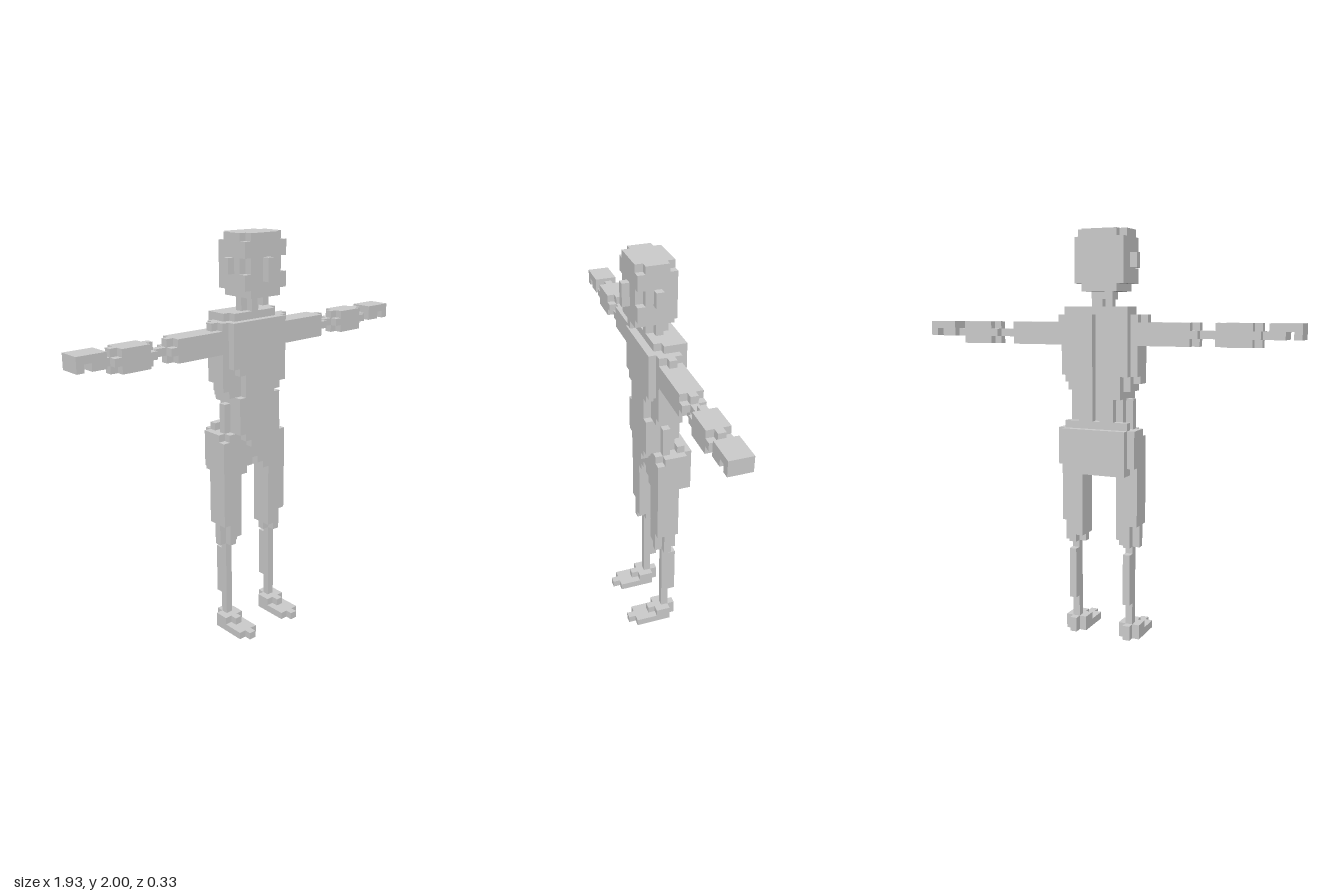
import * as THREE from 'three';

const S = 2 / 55; // size of one block; all numbers below are in blocks
const material = new THREE.MeshStandardMaterial({ color: 0xcccccc, flatShading: true });

// One named part made of cuboids given as [x0, x1, y0, y1, z0, z1]
function part(parent, name, boxes) {
  const group = new THREE.Group();
  group.name = name;
  for (const [x0, x1, y0, y1, z0, z1] of boxes) {
    const mesh = new THREE.Mesh(new THREE.BoxGeometry((x1 - x0) * S, (y1 - y0) * S, (z1 - z0) * S), material);
    mesh.position.set((x0 + x1) / 2 * S, (y0 + y1) / 2 * S, (z0 + z1) / 2 * S);
    mesh.name = name + 'Block';
    group.add(mesh);
  }
  parent.add(group);
}

// The same part on the left (+x) and mirrored on the right
function pair(parent, name, boxes) {
  part(parent, 'left' + name, boxes);
  part(parent, 'right' + name, boxes.map(([a, b, ...rest]) => [-b, -a, ...rest]));
}

// Cuboid centred on x = 0
const mid = (halfWidth, y0, y1, z0, z1) => [-halfWidth, halfWidth, y0, y1, z0, z1];

// Arm slice from x0 to x1 with its four long edges cut away
const cross = (x0, x1) => [
  [x0, x1, 40, 43, -1.5, -0.5],
  [x0, x1, 41, 42, -2.5, 0.5],
];

export function createModel() {
  const model = new THREE.Group();
  model.name = 'blockFigure';

  // Head: eight corners missing, small dents at the outer eyes
  part(model, 'head', [
    mid(2.5, 47, 55, -1.5, 1.5),
    mid(3.5, 48, 54, -2.5, 1.5),
    mid(2.5, 48, 54, 1.5, 2.5),
    mid(3.5, 52, 54, 1.5, 2.5),
    mid(3.5, 48, 50, 1.5, 2.5),
    mid(3.5, 54, 55, -1.5, 1.5),
    mid(2.5, 54, 55, -2.5, 2.5),
    mid(2.5, 47, 48, -2.5, 2.5),
  ]);
  part(model, 'nose', [mid(0.5, 49, 52, 2.5, 3.5)]);
  part(model, 'chin', [mid(0.5, 46, 47, 1.5, 2.5)]);
  pair(model, 'Ear', [[3.5, 4.5, 50, 52, -0.5, 0.5]]);
  part(model, 'neck', [mid(0.5, 45, 47, -1.5, 0.5), mid(1.5, 45, 47, -1.5, -0.5), mid(0.5, 45, 46, -2.5, -1.5)]);

  // Torso core, waist and raised front panel
  part(model, 'torso', [
    mid(4.5, 44, 45, -3.5, -0.5),
    mid(3.5, 44, 45, -0.5, 0.5),
    mid(5.5, 36, 44, -2.5, 0.5),
    mid(5.5, 35, 36, -1.5, 0.5),
    mid(4.5, 34, 36, -2.5, 0.5),
    mid(3.5, 33, 34, -2.5, 0.5),
    mid(4.5, 29, 33, -1.5, -0.5),
    mid(3.5, 29, 33, -2.5, 0.5),
  ]);
  part(model, 'frontPanel', [
    [4.5, 38, 44], [3.5, 37, 38], [2.5, 34, 37], [3.5, 29, 34], [2.5, 28, 29], [1.5, 27, 28],
  ].map(([w, y0, y1]) => mid(w, y0, y1, 0.5, 1.5)));

  // Back plates either side of the spine groove
  pair(model, 'BackPlate', [
    [0.5, 4.5, 36, 44, -3.5, -2.5],
    [0.5, 3.5, 33, 36, -3.5, -2.5],
    [0.5, 2.5, 29, 33, -3.5, -2.5],
  ]);

  // Pelvis with a stepped arch in front
  part(model, 'pelvis', [
    mid(4.5, 28, 29, -2.5, 0.5),
    mid(5.5, 28, 29, -2.5, -0.5),
    mid(5.5, 25, 28, -2.5, 0.5),
  ]);
  pair(model, 'ArchStep', [[0.5, 5.5, 24, 25, -2.5, 0.5], [1.5, 5.5, 23, 24, -2.5, 0.5]]);
  part(model, 'seat', [mid(4.5, 23, 29, -4.5, -2.5), mid(5.5, 24, 29, -3.5, -2.5), mid(4.5, 29, 30, -3.5, -2.5)]);

  // Arms
  pair(model, 'Shoulder', [[5.5, 6.5, 43, 44, -1.5, -0.5]]);
  pair(model, 'UpperArm', [[5.5, 12.5, 40, 43, -2.5, 0.5], ...cross(12.5, 13.5)]);
  pair(model, 'Elbow', [[13.5, 15.5, 41, 42, -1.5, -0.5]]);
  pair(model, 'Forearm', [...cross(15.5, 16.5), [16.5, 20.5, 40, 43, -2.5, 0.5], ...cross(20.5, 21.5)]);
  pair(model, 'Wrist', [[21.5, 22.5, 41, 42, -1.5, -0.5]]);
  pair(model, 'Hand', [
    [22.5, 24.5, 41, 43, -2.5, 0.5],
    [24.5, 26.5, 42, 43, -2.5, 0.5],
    [25.5, 26.5, 41, 42, -2.5, 0.5],
  ]);

  // Legs
  pair(model, 'Thigh', [
    [2.5, 5.5, 16, 23, -2.5, 0.5],
    [2.5, 4.5, 14, 16, -2.5, 0.5],
    [3.5, 4.5, 13, 14, -2.5, 0.5],
    [2.5, 5.5, 13, 16, -1.5, -0.5],
  ]);
  pair(model, 'Shin', [[3.5, 4.5, 2, 13, -1.5, -0.5]]);
  pair(model, 'Calf', [[3.5, 4.5, 5, 12, -2.5, -1.5]]);
  pair(model, 'Foot', [
    [2.5, 5.5, 0, 1, -1.5, 3.5],
    [3.5, 4.5, 0, 1, 3.5, 4.5],
    [3.5, 4.5, 0, 2, -2.5, 1.5],
    [2.5, 5.5, 1, 2, -1.5, 0.5],
  ]);

  return model;
}
